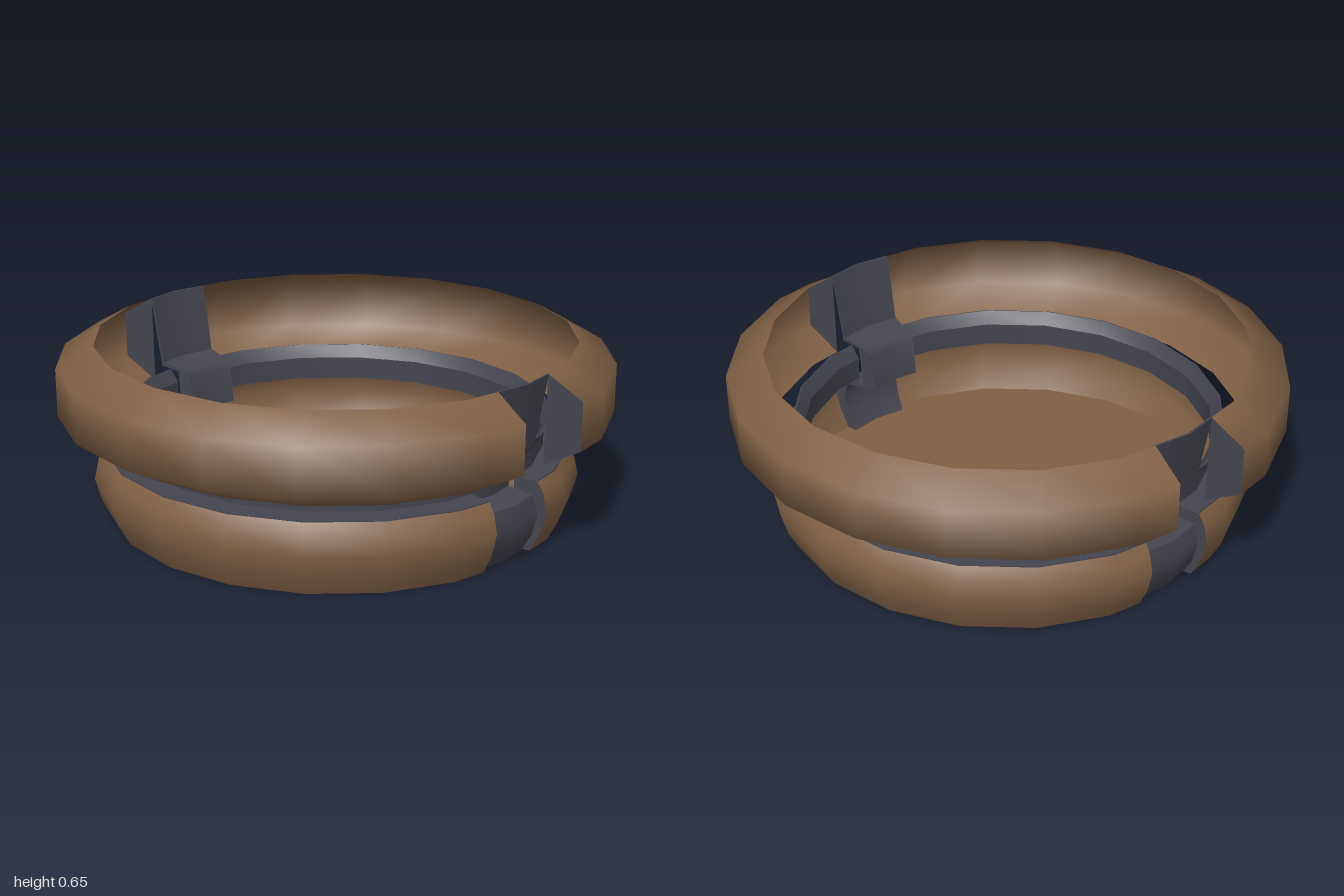
import * as THREE from 'three';
import { toCreasedNormals } from 'three/addons/utils/BufferGeometryUtils.js';

const STEP = 18; // degrees per side: every ring has 20 sides

// Point of a [radius, height] profile at an angle, kept on the straight sides of the 20-gon
function place([radius, y], deg) {
  const rad = Math.PI / 180, half = STEP / 2;
  const local = ((deg % STEP) + STEP) % STEP - half;
  const r = radius * Math.cos(half * rad) / Math.cos(local * rad);
  return [r * Math.cos(deg * rad), y, r * Math.sin(deg * rad)];
}

function toGeometry(points, crease) {
  const g = new THREE.BufferGeometry();
  g.setAttribute('position', new THREE.Float32BufferAttribute(points.flat(), 3));
  g.computeVertexNormals();
  return toCreasedNormals(g, crease);
}

// Skin swept from a profile through the angles; the profile runs counter-clockwise
function sweep(profile, angles, crease, closed) {
  const points = [];
  const edges = closed ? profile.length : profile.length - 1;
  for (let i = 0; i < angles.length - 1; i++) {
    for (let k = 0; k < edges; k++) {
      const p = profile[k], q = profile[(k + 1) % profile.length];
      const p0 = place(p, angles[i]), p1 = place(p, angles[i + 1]);
      const q0 = place(q, angles[i]), q1 = place(q, angles[i + 1]);
      points.push(p0, q0, q1, p0, q1, p1);
    }
  }
  return toGeometry(points, crease);
}

// Flat faces that close both ends of a sweep
function ends(contour, angles) {
  const points = [];
  const first = angles[0], last = angles[angles.length - 1];
  const flat = contour.map(p => new THREE.Vector2(...p));
  for (const [a, b, c] of THREE.ShapeUtils.triangulateShape(flat, [])) {
    const [pa, pb, pc] = [contour[a], contour[b], contour[c]];
    points.push(place(pa, last), place(pb, last), place(pc, last));
    points.push(place(pa, first), place(pc, first), place(pb, first));
  }
  return toGeometry(points, 0.5);
}

export function createModel() {
  const model = new THREE.Group();
  const brown = new THREE.MeshStandardMaterial({ name: 'brown', color: 0x806045, side: THREE.DoubleSide });
  const slate = new THREE.MeshStandardMaterial({ name: 'slate', color: 0x454550, side: THREE.DoubleSide });

  function add(name, geometry, material) {
    const mesh = new THREE.Mesh(geometry, material);
    mesh.name = name;
    model.add(mesh);
  }

  // Half turn on the left (+x), stopping at the front and back gaps
  const halfAngles = [-81];
  for (let a = -72; a <= 72; a += STEP) halfAngles.push(a);
  halfAngles.push(81);
  const gapAngles = [81, 90, 99];

  // Open shells of the two rings
  const upperShell = [[0.86, 0.325], [1, 0.4], [1, 0.575], [0.865, 0.65]];
  const lowerShell = [[0.82, 0], [0.857, 0.07], [0.88, 0.155], [0.866, 0.22], [0.84, 0.26]];
  // Sunken leg of the bracket, and the step between it and the lower shell
  const leg = [[0.79, 0], [0.825, 0.06], [0.845, 0.14], [0.825, 0.21]];
  const lowerStep = [...lowerShell, [0.75, 0.26], [0.75, 0.216], ...leg.slice().reverse()];
  // Neck with a ledge below and a thin flared lip above
  const neck = [
    [0.745, 0.25], [0.838, 0.25], [0.838, 0.262], [0.752, 0.262],
    [0.752, 0.325], [0.783, 0.38], [0.777, 0.381], [0.745, 0.335],
  ];
  for (const [side, turn] of [['left', 0], ['right', 180]]) {
    const angles = halfAngles.map(a => a + turn);
    add(side + 'UpperRing', sweep(upperShell, angles, 1.2, false), brown);
    add(side + 'UpperRingEnds', ends(upperShell, angles), slate);
    add(side + 'LowerRing', sweep(lowerShell, angles, 0.7, false), brown);
    add(side + 'LowerRingEnds', ends(lowerStep, angles), slate);
    add(side + 'Neck', sweep(neck, angles, 0.5, true), slate);
  }

  // Brackets that fill the gaps: leg, inner block and leaning plate
  const bracket = [
    ...leg, [0.728, 0.222], [0.742, 0.378], [0.822, 0.388], [0.868, 0.65],
    [0.86, 0.65], [0.813, 0.402], [0.7, 0.382], [0.682, 0.358], [0.662, 0.225],
    [0.72, 0.21], [0.813, 0.198], [0.833, 0.14], [0.813, 0.06], [0.778, 0],
  ];
  for (const [name, turn] of [['frontBracket', 0], ['backBracket', 180]]) {
    const angles = gapAngles.map(a => a + turn);
    add(name, sweep(bracket, angles, 0.8, true), slate);
    add(name + 'Sides', ends(bracket, angles), slate);
  }

  // Floor, notched where the legs stand
  const rim = [];
  for (const turn of [0, 180]) {
    for (const a of halfAngles) rim.push(place([0.82, 0], a + turn));
    for (const a of gapAngles) rim.push(place([0.79, 0], a + turn));
  }
  const floor = new THREE.ShapeGeometry(new THREE.Shape(rim.map(([x, , z]) => new THREE.Vector2(x, z))));
  floor.rotateX(-Math.PI / 2);
  add('floor', floor, brown);
  return model;
}
